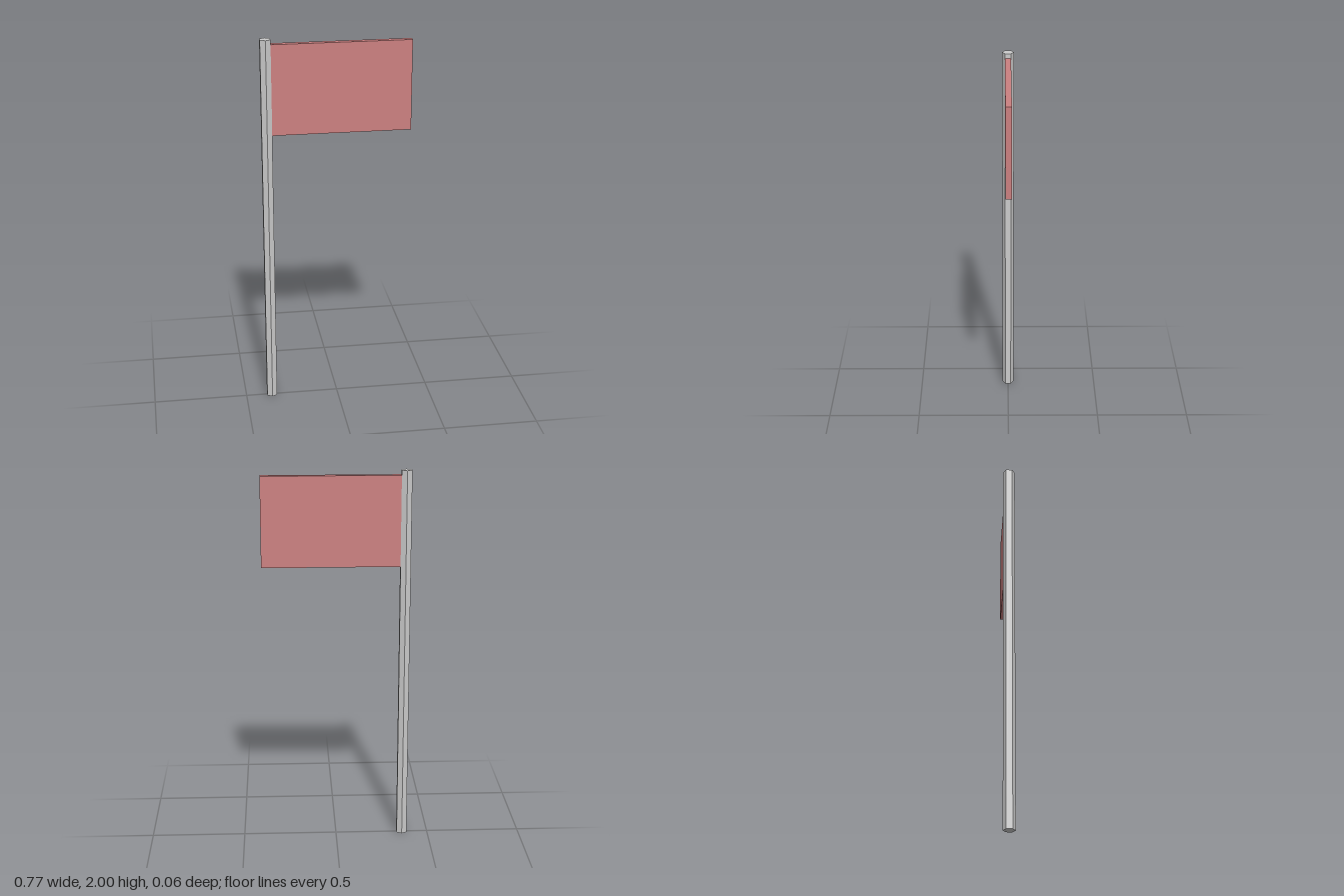
import * as THREE from 'three';

const POLE_X = -0.36;
const POLE_RADIUS = 0.031;
const POLE_HEIGHT = 2;

export function createModel() {
  const group = new THREE.Group();
  group.name = 'flagpole';

  // Six-sided pole, one flat side facing the flag
  const pole = new THREE.Mesh(
    new THREE.CylinderGeometry(POLE_RADIUS, POLE_RADIUS, POLE_HEIGHT, 6),
    new THREE.MeshStandardMaterial({ color: 0xcccccc, flatShading: true })
  );
  pole.name = 'pole';
  pole.position.set(POLE_X, POLE_HEIGHT / 2, 0);
  group.add(pole);

  // Stiff flag, as thick as the pole's flat side and flush against it
  const inner = POLE_X + POLE_RADIUS * Math.cos(Math.PI / 6);
  const outer = 0.386, bottom = 1.5, top = 1.975;
  const flag = new THREE.Mesh(
    new THREE.BoxGeometry(outer - inner, top - bottom, POLE_RADIUS),
    new THREE.MeshStandardMaterial({ color: 0xcc8080 })
  );
  flag.name = 'flag';
  flag.position.set((inner + outer) / 2, (bottom + top) / 2, 0);
  group.add(flag);

  return group;
}
